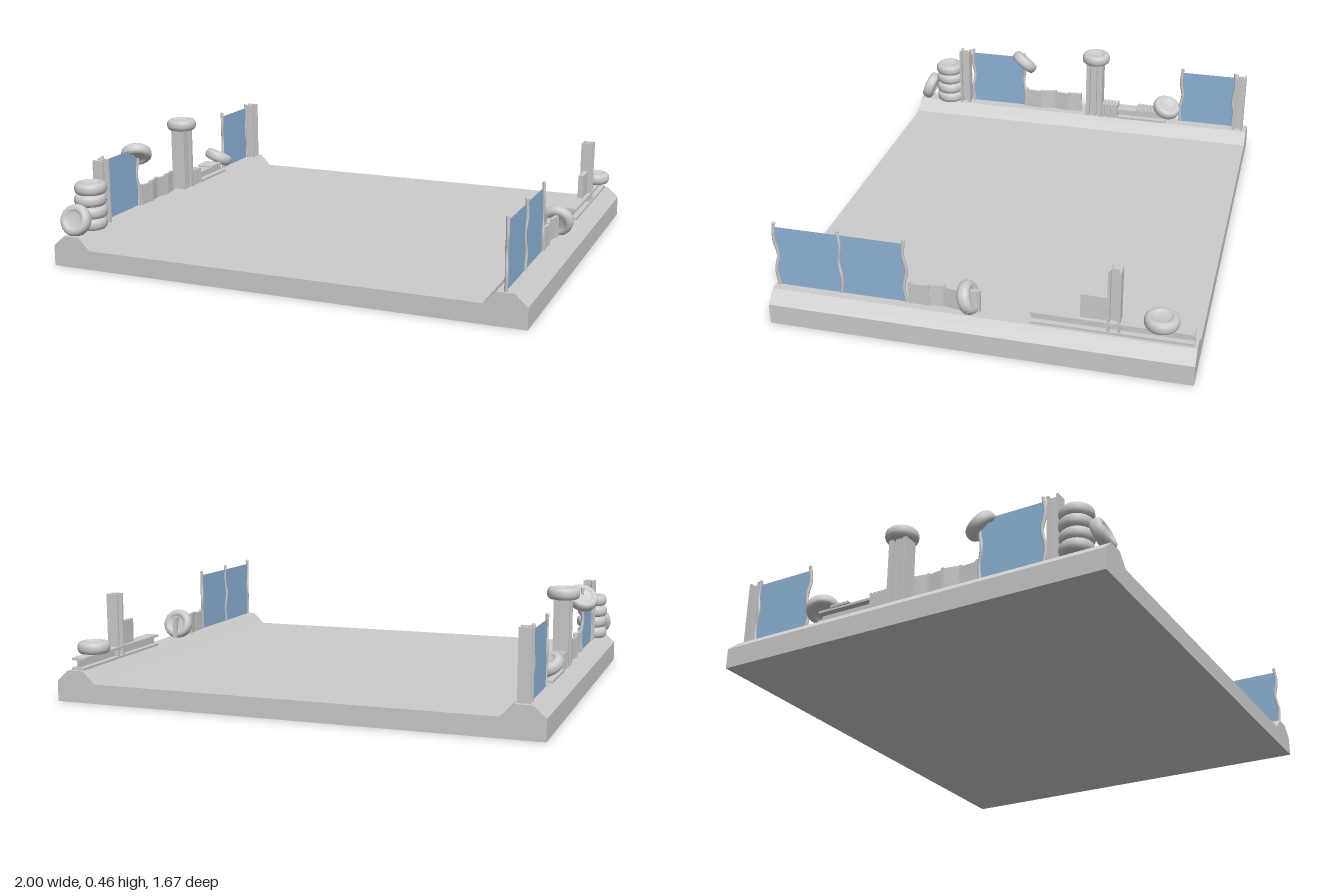
import * as THREE from 'three';

const grey = new THREE.MeshStandardMaterial({ color: 0xcccccc });
const blue = new THREE.MeshStandardMaterial({ color: 0x8fb4d9, side: THREE.DoubleSide });
const UP = new THREE.Vector3(0, 1, 0);
const CURB = 0.13; // top of the curbs

export function createModel() {
  const root = new THREE.Group();
  root.name = 'arenaFloor';

  const add = (name, geometry, x = 0, y = 0, z = 0, material = grey) => {
    const mesh = new THREE.Mesh(geometry, material);
    mesh.name = name;
    mesh.position.set(x, y, z);
    root.add(mesh);
    return mesh;
  };
  const box = (name, w, h, d, x, y, z) => add(name, new THREE.BoxGeometry(w, h, d), x, y, z);

  // Floor slab with a chamfered curb along each side
  const half = [[0.83, 0.08], [0.88, 0.13], [0.95, 0.13], [1, 0.085], [1, 0]];
  const outline = [...half.map(([x, y]) => [-x, y]).reverse(), ...half];
  const slab = new THREE.Shape(outline.map(([x, y]) => new THREE.Vector2(x, y)));
  add('floorAndCurbs', new THREE.ExtrudeGeometry(slab, { depth: 1.67, bevelEnabled: false }), 0, 0, -0.84);

  // Tyres: rounded tread, raised sidewall and recessed hub
  const side = [[0, 0.015], [0.032, 0.015], [0.038, 0.022], [0.046, 0.025], [0.057, 0.023], [0.064, 0.016], [0.067, 0.006]];
  const profile = [...side.map(([r, y]) => [r, -y]), ...side.slice().reverse()];
  const tyreGeometry = new THREE.LatheGeometry(profile.map(([r, y]) => new THREE.Vector2(r, y)), 24);
  const tyre = (x, y, z, axis = [0, 1, 0]) => {
    const mesh = add('tyre', tyreGeometry, x, y, z);
    mesh.quaternion.setFromUnitVectors(UP, new THREE.Vector3(...axis).normalize());
  };
  for (let i = 0; i < 4; i++) tyre(-0.915 + (i % 2) * 0.004, 0.155 + i * 0.05, 0.68);
  tyre(-0.918, 0.19, 0.785, [0, 0.35, 0.94]);
  tyre(-0.93, 0.365, 0.29, [-0.35, 0.7, -0.55]);
  tyre(-0.912, 0.433, -0.08);
  tyre(-0.918, 0.2, -0.44, [0.3, 0.85, -0.3]);
  tyre(0.912, 0.19, 0.04, [0, -0.3, 0.95]);
  tyre(0.912, 0.205, -0.7);

  // I-beams: cross-section in x and z, extruded upwards
  const iBeam = (length, w, d, t) => {
    const a = w / 2, b = d / 2, s = t / 2;
    const quarter = [[s, b - t], [a, b - t], [a, b]];
    const pts = [
      ...quarter,
      ...quarter.slice().reverse().map(([x, y]) => [-x, y]),
      ...quarter.map(([x, y]) => [-x, -y]),
      ...quarter.slice().reverse().map(([x, y]) => [x, -y]),
    ];
    const shape = new THREE.Shape(pts.map(([x, y]) => new THREE.Vector2(x, y)));
    return new THREE.ExtrudeGeometry(shape, { depth: length, bevelEnabled: false });
  };
  for (const [x, z] of [[0.912, -0.523], [-0.912, -0.795], [-0.912, 0.595]]) {
    add('beamPost', iBeam(0.275, 0.05, 0.05, 0.01).rotateX(-Math.PI / 2), x, CURB, z);
  }
  add('lyingBeam', iBeam(0.62, 0.055, 0.05, 0.01), 0.912, 0.155, -0.825);
  add('lyingBeam', iBeam(0.24, 0.065, 0.05, 0.01), -0.912, 0.155, -0.44);

  // Column made of two crossed beams
  const column = iBeam(0.28, 0.065, 0.08, 0.018).rotateX(-Math.PI / 2);
  add('column', column, -0.912, CURB, -0.078);
  box('columnWeb', 0.055, 0.28, 0.022, -0.912, 0.27, -0.078);

  // Short stub of upright slats beside the column
  for (let i = 0; i < 5; i++) box('uprightSlat', 0.06, 0.07, 0.01, -0.912, 0.165, -0.127 - i * 0.0165);
  box('slatCore', 0.045, 0.065, 0.075, -0.912, 0.1625, -0.16);

  // Ribbed sheet lying on the left beam, and a plate standing on the right one
  box('sheet', 0.078, 0.006, 0.09, -0.912, 0.182, -0.335);
  for (let i = 0; i < 5; i++) {
    const rib = new THREE.CylinderGeometry(0.007, 0.007, 0.078, 8).rotateZ(Math.PI / 2);
    add('sheetRib', rib, -0.912, 0.184, -0.3 - i * 0.0175);
  }
  box('standingPlate', 0.022, 0.1, 0.1, 0.912, 0.23, -0.445);

  // Fences: slightly bent poles with thin blue panels between them
  const fence = (x, zs) => {
    zs.forEach((z, k) => {
      const bend = [0, 0.006, -0.005, 0.005, 0].map((o, i) =>
        new THREE.Vector3(x + o * 0.5, CURB + i * 0.069, z + (k % 2 ? -o : o)));
      add('fencePole', new THREE.TubeGeometry(new THREE.CatmullRomCurve3(bend), 16, 0.007, 8));
      add('poleCap', new THREE.SphereGeometry(0.0075, 8, 6), x, CURB + 0.276, z);
      if (k === 0) return;
      const width = Math.abs(z - zs[k - 1]);
      const panel = new THREE.PlaneGeometry(width, 0.26).rotateY(Math.PI / 2);
      add('fencePanel', panel, x, CURB + 0.13, (z + zs[k - 1]) / 2, blue);
    });
  };
  fence(0.912, [0.815, 0.555, 0.29]);
  fence(-0.93, [0.555, 0.29]);
  fence(-0.93, [-0.51, -0.765]);

  // Low crumpled walls: a bent strip with a thicker rib at each fold
  const crumpledWall = (points) => {
    for (let i = 1; i < points.length; i++) {
      const [x0, z0] = points[i - 1], [x1, z1] = points[i];
      const length = Math.hypot(x1 - x0, z1 - z0);
      const height = i % 2 ? 0.093 : 0.088;
      const strip = box('wallSection', 0.012, height, length, (x0 + x1) / 2, CURB + height / 2, (z0 + z1) / 2);
      strip.rotation.y = Math.atan2(x1 - x0, z1 - z0);
    }
    for (const [x, z] of points) box('wallRib', 0.018, 0.094, 0.01, x, CURB + 0.047, z);
  };
  crumpledWall([[-0.93, 0.0], [-0.922, 0.06], [-0.932, 0.13], [-0.918, 0.2], [-0.925, 0.275]]);
  crumpledWall([[0.908, 0.0], [0.916, 0.07], [0.902, 0.14], [0.912, 0.2], [0.912, 0.275]]);

  return root;
}
